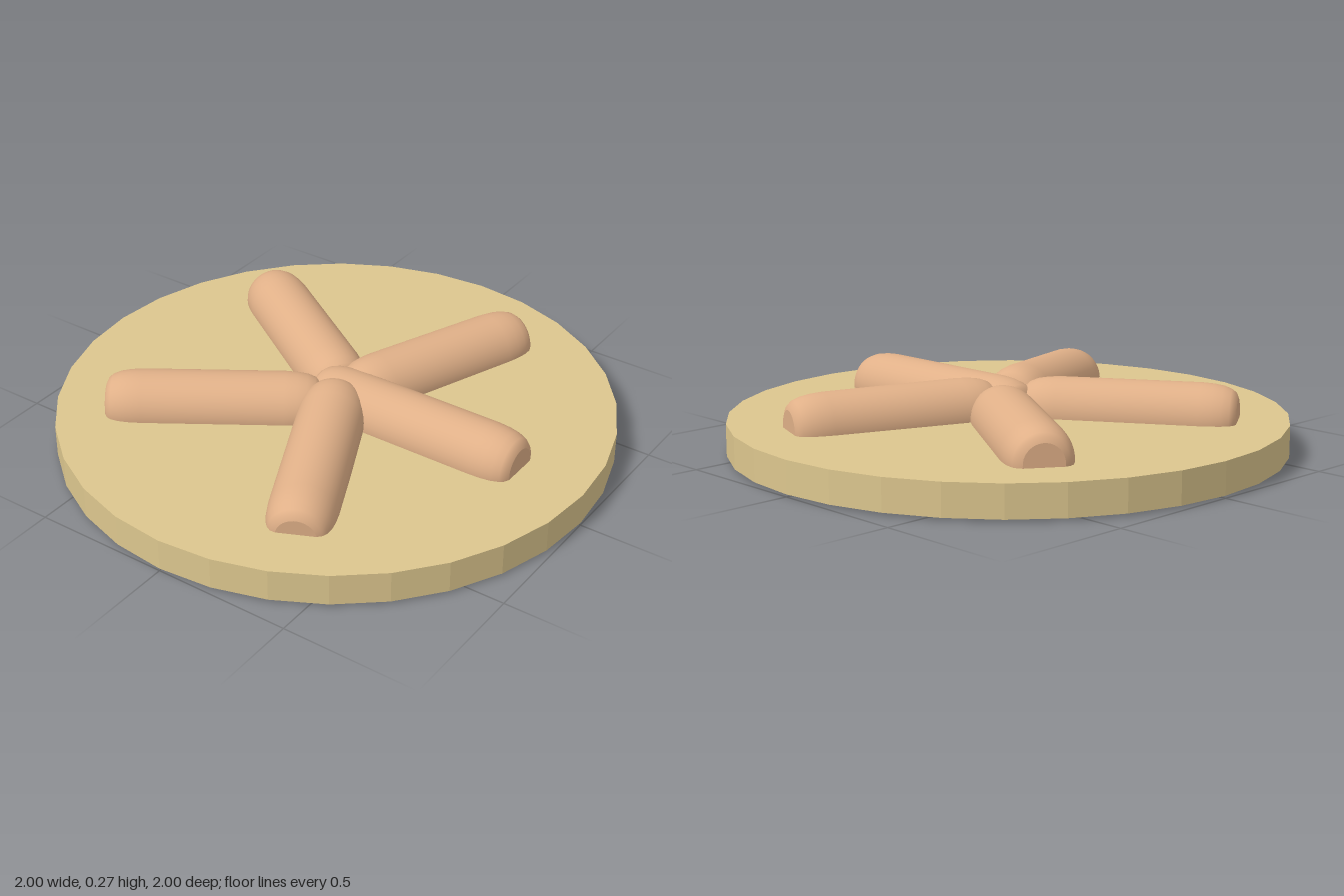
import * as THREE from 'three';
import { mergeGeometries } from 'three/addons/utils/BufferGeometryUtils.js';

const RADIUS = 0.12;
const CAP = 0.07;

// Round bar with softened shoulders and flat ends, along y from 0 to length
function sausageGeometry(length) {
  const shoulder = [[CAP, 0], [0.088, 0.008], [0.1, 0.022], [0.111, 0.05], [0.117, 0.085], [RADIUS, 0.13]];
  const points = [
    ...shoulder.map(([r, y]) => new THREE.Vector2(r, y)),
    ...shoulder.slice().reverse().map(([r, y]) => new THREE.Vector2(r, length - y)),
  ];
  const body = new THREE.LatheGeometry(points, 36);
  const bottom = new THREE.CircleGeometry(CAP, 36).rotateX(Math.PI / 2);
  const top = new THREE.CircleGeometry(CAP, 36).rotateX(-Math.PI / 2).translate(0, length, 0);
  return mergeGeometries([body, bottom, top]);
}

export function createModel() {
  const group = new THREE.Group();
  const plateMaterial = new THREE.MeshStandardMaterial({ color: 0xdcc68e });
  plateMaterial.name = 'sandy plate';
  plateMaterial.flatShading = true;
  const sausageMaterial = new THREE.MeshStandardMaterial({ color: 0xe0b088 });
  sausageMaterial.name = 'pinkish tan';

  // Round plate
  const plate = new THREE.Mesh(new THREE.CylinderGeometry(1, 1, 0.115, 32), plateMaterial);
  plate.name = 'plate';
  plate.position.y = 0.0675;
  group.add(plate);

  // Five sausages fanned out from the centre: inner end, outer end
  const sausages = [
    ['sausageLeft', [-0.075, 0.135, -0.004], [0.755, 0.135, -0.004]],
    ['sausageBack', [0.04, 0.142, -0.035], [0.31, 0.13, -0.745]],
    ['sausageFront', [0.025, 0.163, 0.03], [0.345, 0.112, 0.72]],
    ['sausageBackRight', [-0.01, 0.135, -0.057], [-0.655, 0.135, -0.48]],
    ['sausageFrontRight', [-0.015, 0.135, 0.068], [-0.655, 0.135, 0.487]],
  ];
  const up = new THREE.Vector3(0, 1, 0);
  for (const [name, inner, outer] of sausages) {
    const start = new THREE.Vector3(...inner);
    const along = new THREE.Vector3(...outer).sub(start);
    const sausage = new THREE.Mesh(sausageGeometry(along.length()), sausageMaterial);
    sausage.name = name;
    sausage.position.copy(start);
    sausage.quaternion.setFromUnitVectors(up, along.normalize());
    group.add(sausage);
  }
  return group;
}
